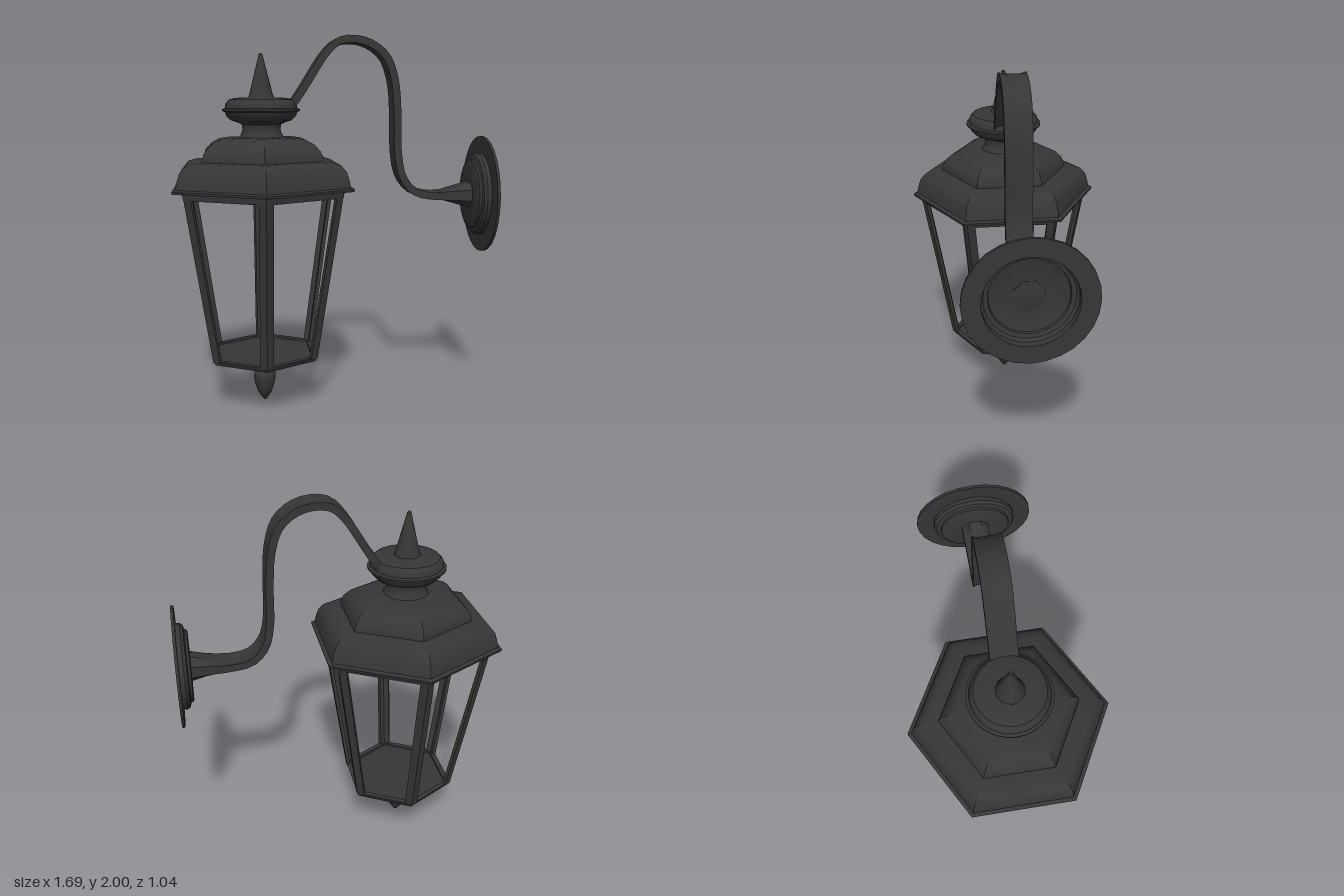
import * as THREE from 'three';
import { toCreasedNormals } from 'three/addons/utils/BufferGeometryUtils.js';

const iron = new THREE.MeshStandardMaterial({ color: 0x363636, side: THREE.DoubleSide });
iron.name = 'cast iron';

function part(name, geometry, parent, crease = 0.6) {
  const mesh = new THREE.Mesh(toCreasedNormals(geometry, crease), iron);
  mesh.name = name;
  parent.add(mesh);
  return mesh;
}

// Profile of [radius, height] pairs, listed upwards
function lathe(profile, sides) {
  return new THREE.LatheGeometry(profile.map(([r, y]) => new THREE.Vector2(r, y)), sides);
}

// Corner post: V section sheared outwards as it rises
function postGeometry(y0, y1, r0, r1) {
  const t = 0.02, a = 0.036, b = 0.021;
  const v = [[0, 0], [a, b], [a - 0.5 * t, b + 0.866 * t], [0, 1.155 * t],
    [-a + 0.5 * t, b + 0.866 * t], [-a, b]].map(([x, y]) => new THREE.Vector2(x, y));
  const g = new THREE.ExtrudeGeometry(new THREE.Shape(v), { depth: y1 - y0, bevelEnabled: false });
  g.rotateX(-Math.PI / 2);
  const p = g.attributes.position;
  for (let i = 0; i < p.count; i++) {
    const y = p.getY(i);
    p.setZ(i, p.getZ(i) + r0 + (r1 - r0) * y / (y1 - y0));
    p.setY(i, y + y0);
  }
  return g;
}

// Channelled strap swept along a curve, swelling to a round end
function armGeometry() {
  const curve = new THREE.CatmullRomCurve3([
    [-0.24, 1.61], [-0.17, 1.71], [-0.04, 1.91], [0.02, 1.965], [0.09, 1.98], [0.19, 1.96],
    [0.28, 1.89], [0.325, 1.77], [0.342, 1.6], [0.35, 1.36], [0.38, 1.24], [0.45, 1.165],
    [0.55, 1.143], [0.65, 1.143], [0.77, 1.143],
  ].map(([x, y]) => new THREE.Vector3(x, y, 0)), false, 'centripetal');
  const strap = [[-0.068, 0.02], [-0.045, 0.012], [0.045, 0.012], [0.068, 0.02],
    [0.068, -0.02], [0.045, -0.012], [-0.045, -0.012], [-0.068, -0.02]];
  const n = strap.length, steps = 44, pos = [], index = [];
  for (let i = 0; i <= steps; i++) {
    const c = curve.getPointAt(i / steps), t = curve.getTangentAt(i / steps);
    const k = c.y < 1.3 ? THREE.MathUtils.clamp((c.x - 0.56) / 0.21, 0, 1) : 0;
    strap.forEach(([z, h], j) => {
      const angle = Math.PI * (0.875 - j * 0.25);
      const w = THREE.MathUtils.lerp(z, 0.08 * Math.cos(angle), k);
      const up = THREE.MathUtils.lerp(h, 0.08 * Math.sin(angle), k);
      pos.push(c.x - t.y * up, c.y + t.x * up, w);
    });
  }
  for (let i = 0; i < steps; i++) for (let j = 0; j < n; j++) {
    const a = i * n + j, b = i * n + (j + 1) % n;
    index.push(a, b, a + n, b, b + n, a + n);
  }
  // End caps
  const last = steps * n, tip = pos.length / 3;
  pos.push(0.785, 1.143, 0, -0.24, 1.61, 0);
  for (let j = 0; j < n; j++) {
    const k = (j + 1) % n;
    index.push(last + j, last + k, tip, k, j, tip + 1);
  }
  const g = new THREE.BufferGeometry();
  g.setAttribute('position', new THREE.Float32BufferAttribute(pos, 3));
  g.setIndex(index);
  return g;
}

export function createModel() {
  const model = new THREE.Group();
  model.name = 'wallLantern';
  const lantern = new THREE.Group();
  lantern.name = 'lantern';
  lantern.position.x = -0.382;
  model.add(lantern);

  // Two-tier hexagonal roof
  const roof = part('roof', lathe([[0, 1.195], [0.515, 1.195], [0.518, 1.208], [0.497, 1.215],
    [0.49, 1.25], [0.475, 1.295], [0.445, 1.328], [0.4, 1.342], [0.35, 1.346], [0.348, 1.365],
    [0.332, 1.4], [0.295, 1.435], [0.25, 1.457], [0.19, 1.466], [0, 1.47]], 6), lantern);
  roof.scale.x = 1.035;

  // Turned neck, collar and spike
  part('neckAndCollar', lathe([[0.12, 1.466], [0.108, 1.485], [0.1, 1.51], [0.105, 1.535],
    [0.13, 1.547], [0.16, 1.555], [0.185, 1.58], [0.192, 1.6], [0.206, 1.605], [0.206, 1.614],
    [0.192, 1.62], [0.188, 1.645], [0.17, 1.665], [0.13, 1.674], [0, 1.676]], 28), lantern);
  part('spike', lathe([[0.07, 1.672], [0.06, 1.7], [0.01, 1.9], [0, 1.908]], 16), lantern);

  // Open hexagonal cage
  part('topRail', lathe([[0.435, 1.16], [0.472, 1.16], [0.477, 1.197], [0.435, 1.197],
    [0.435, 1.16]], 6), lantern);
  const post = postGeometry(0.28, 1.18, 0.322, 0.473);
  for (let i = 0; i < 6; i++) {
    part('cornerPost', post, lantern).rotation.y = i * Math.PI / 3;
  }
  part('floor', lathe([[0, 0.264], [0.308, 0.264], [0.322, 0.29], [0.29, 0.29], [0.288, 0.28],
    [0, 0.28]], 6), lantern);

  // Acorn drop beneath the floor
  part('acornDrop', lathe([[0, 0], [0.012, 0.012], [0.038, 0.05], [0.052, 0.09], [0.06, 0.135],
    [0.058, 0.16], [0.045, 0.176], [0.03, 0.18], [0.03, 0.19], [0.048, 0.192], [0.048, 0.22],
    [0.058, 0.235], [0.06, 0.266]], 20), lantern);

  part('arm', armGeometry(), model);

  // Round stepped wall plate, hollow at the back
  const plate = lathe([[0.07, 0.765], [0.18, 0.766], [0.19, 0.77], [0.193, 0.782], [0.215, 0.788],
    [0.227, 0.803], [0.227, 0.825], [0.32, 0.825], [0.32, 0.84], [0.228, 0.84], [0.227, 0.825]], 28);
  plate.rotateZ(-Math.PI / 2);
  part('wallPlate', plate, model).position.y = 1.145;

  return model;
}
